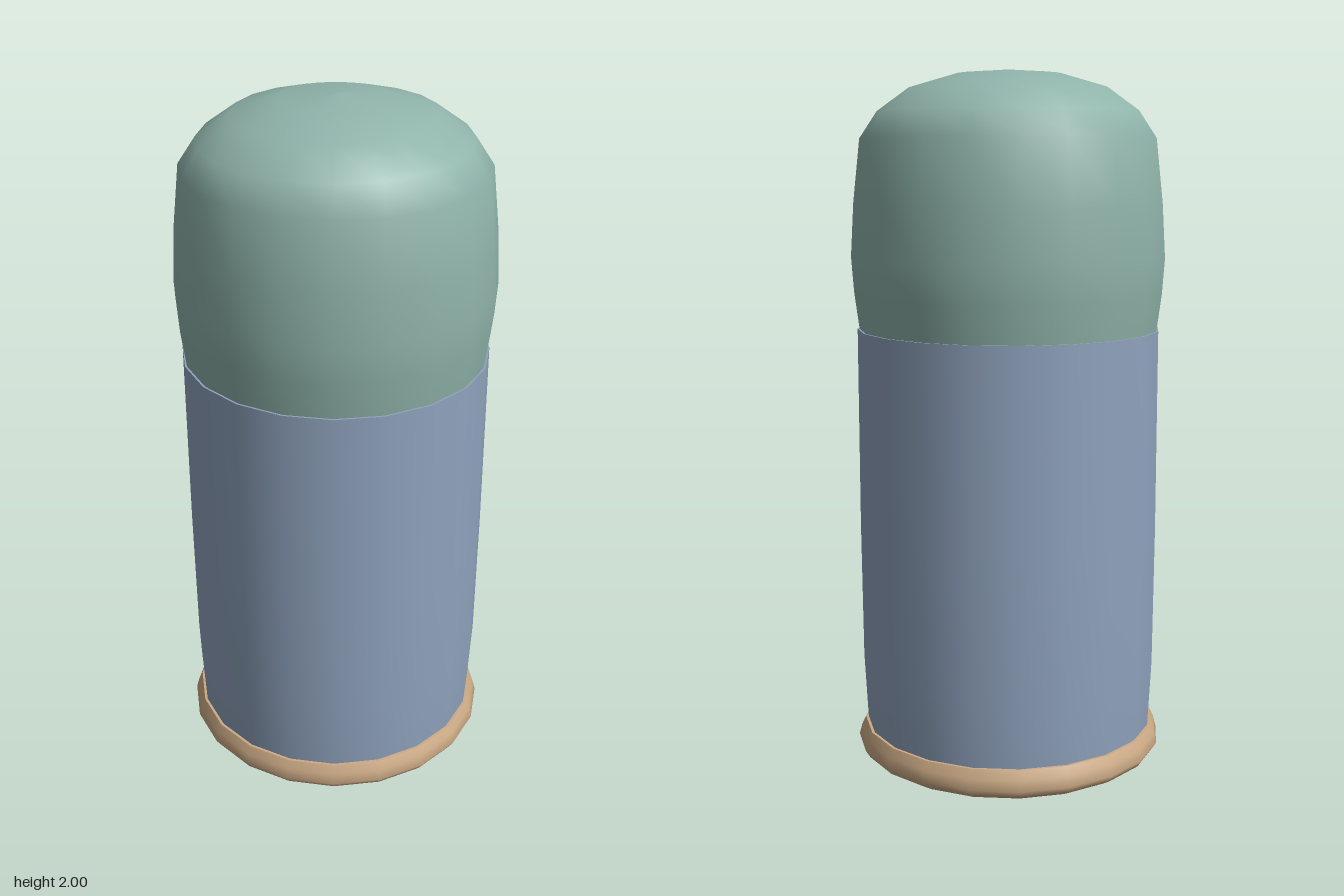
import * as THREE from 'three';

const SIDES = 20;

// Turns a list of [radius, height] points, bottom to top, into a smooth part.
function turned(name, points, material) {
  const profile = points.map(([r, y]) => new THREE.Vector2(r, y));
  const mesh = new THREE.Mesh(new THREE.LatheGeometry(profile, SIDES), material);
  mesh.name = name;
  return mesh;
}

function disc(name, radius, y, material) {
  const geometry = new THREE.CircleGeometry(radius, SIDES);
  geometry.rotateX(-Math.PI / 2);
  const mesh = new THREE.Mesh(geometry, material);
  mesh.name = name;
  mesh.position.y = y;
  return mesh;
}

export function createModel() {
  const sage = new THREE.MeshStandardMaterial({ name: 'sageGreen', color: 0x8fb3aa });
  const blue = new THREE.MeshStandardMaterial({ name: 'dustyBlue', color: 0x8fa3bd });
  const tan = new THREE.MeshStandardMaterial({ name: 'tan', color: 0xcdab86 });

  const model = new THREE.Group();
  model.name = 'cappedCylinder';

  // Rounded foot with a slightly convex underside and a flat top
  model.add(turned('baseRing', [
    [0, 0], [0.3, 0.005], [0.41, 0.014], [0.437, 0.03], [0.45, 0.05], [0.442, 0.08], [0.43, 0.105],
  ], tan));
  model.add(disc('baseTop', 0.43, 0.105, tan));

  // Straight body, drawn in a little at the bottom
  model.add(turned('body', [
    [0.422, 0.1], [0.432, 0.3], [0.435, 0.7], [0.434, 1.275],
  ], blue));
  model.add(disc('bodyTop', 0.434, 1.275, blue));

  // Bulging cap with a domed top
  model.add(turned('cap', [
    [0.428, 1.272], [0.442, 1.38], [0.449, 1.48], [0.44, 1.63], [0.42, 1.81],
    [0.37, 1.885], [0.28, 1.95], [0.15, 1.988], [0, 2],
  ], sage));

  return model;
}
